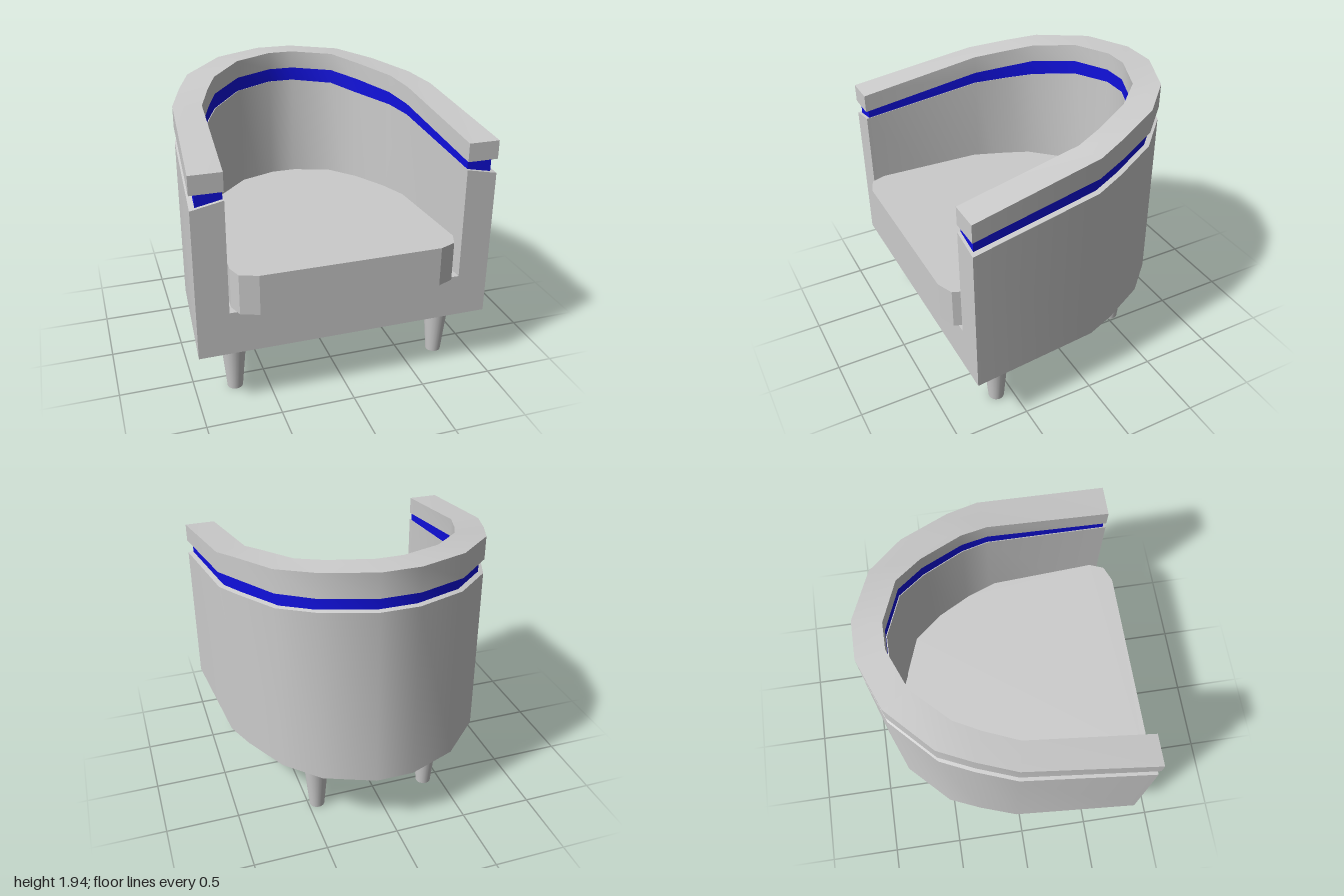
import * as THREE from 'three';
import { toCreasedNormals } from 'three/addons/utils/BufferGeometryUtils.js';

// Plan outlines [x, z], running from the right arm round the back to the left arm
const OUTER = [[-1, 0.85], [-0.935, -0.04], [-0.845, -0.3], [-0.75, -0.52], [-0.465, -0.8], [-0.13, -0.93],
  [0.13, -0.93], [0.465, -0.79], [0.68, -0.57], [0.845, -0.25], [0.925, -0.04], [1, 0.85]];
const INNER = [[-0.79, 0.85], [-0.745, 0], [-0.66, -0.23], [-0.58, -0.4], [-0.36, -0.63], [-0.09, -0.74],
  [0.09, -0.74], [0.37, -0.63], [0.52, -0.46], [0.67, -0.18], [0.73, 0], [0.79, 0.85]];
const CUSHION = [[-0.61, 0.925], [-0.73, 0.88], [-0.765, 0.78], [-0.73, 0.04], [-0.64, -0.2], [-0.57, -0.36],
  [-0.35, -0.59], [-0.09, -0.685], [0.09, -0.685], [0.35, -0.59], [0.51, -0.4], [0.64, -0.16],
  [0.715, 0.04], [0.76, 0.78], [0.72, 0.88], [0.61, 0.925]];

// Heights from arm end to back centre, mirrored over the other half
const mirrored = (h) => [...h, ...[...h].reverse()];
const RAIL_TOP = mirrored([1.67, 1.81, 1.85, 1.885, 1.925, 1.94]);
const RAIL_OUT = mirrored([1.545, 1.668, 1.70, 1.724, 1.757, 1.772]);
const RAIL_IN = mirrored([1.545, 1.685, 1.725, 1.762, 1.80, 1.815]);
const SHELL_OUT = mirrored([1.447, 1.56, 1.592, 1.624, 1.665, 1.68]);
const SHELL_IN = mirrored([1.49, 1.605, 1.632, 1.655, 1.70, 1.72]);

const lerp = (a, b, t) => a.map((v, i) => v + (b[i] - v) * t);

// Sweeps a four-cornered section round the horseshoe and caps both ends
function horseshoe(section) {
  const positions = [], index = [];
  OUTER.forEach((_, i) => section(i).forEach((p) => positions.push(...p)));
  const n = OUTER.length;
  for (let i = 0; i < n - 1; i++) {
    for (let k = 0; k < 4; k++) {
      const a = i * 4 + k, b = i * 4 + (k + 1) % 4;
      index.push(a, a + 4, b, b, a + 4, b + 4);
    }
  }
  const e = (n - 1) * 4;
  index.push(0, 1, 2, 0, 2, 3, e, e + 2, e + 1, e, e + 3, e + 2);
  const geometry = new THREE.BufferGeometry();
  geometry.setAttribute('position', new THREE.Float32BufferAttribute(positions, 3));
  geometry.setIndex(index);
  return toCreasedNormals(geometry, 0.6);
}

// Section corners: outer bottom, inner bottom, inner top, outer top
const corners = (o, n, ob, ib, it, ot) =>
  [[o[0], ob, o[1]], [n[0], ib, n[1]], [n[0], it, n[1]], [o[0], ot, o[1]]];

// Extrudes a plan outline upward between two heights
function slab(outline, bottom, top) {
  const shape = new THREE.Shape(outline.map(([x, z]) => new THREE.Vector2(x, -z)));
  const geometry = new THREE.ExtrudeGeometry(shape, { depth: top - bottom, bevelEnabled: false });
  geometry.rotateX(-Math.PI / 2).translate(0, bottom, 0);
  return toCreasedNormals(geometry, 0.35);
}

export function createModel() {
  const group = new THREE.Group();
  const grey = new THREE.MeshStandardMaterial({ color: 0xcccccc });
  const blue = new THREE.MeshStandardMaterial({ color: 0x1010dd });
  const add = (name, geometry, material = grey) => {
    const mesh = new THREE.Mesh(geometry, material);
    mesh.name = name;
    group.add(mesh);
    return mesh;
  };

  // Wrap-around arms and back
  add('shell', horseshoe((i) => corners(OUTER[i], INNER[i], 0.42, 0.42, SHELL_IN[i], SHELL_OUT[i])));

  // Recessed coloured band, sunk slightly into the shell and rail
  add('accentBand', horseshoe((i) => {
    const o = lerp(OUTER[i], INNER[i], 0.17), n = lerp(INNER[i], OUTER[i], 0.03);
    if (i === 0 || i === OUTER.length - 1) o[1] = n[1] = 0.83;
    return corners(o, n, SHELL_OUT[i] - 0.02, SHELL_IN[i] - 0.02, RAIL_IN[i] + 0.02, RAIL_OUT[i] + 0.02);
  }), blue);

  // Capping rail
  add('topRail', horseshoe((i) =>
    corners(OUTER[i], INNER[i], RAIL_OUT[i], RAIL_IN[i], RAIL_TOP[i], RAIL_TOP[i])));

  // Seat base and cushion
  add('seatBase', slab(INNER, 0.42, 0.72));
  add('seatCushion', slab(CUSHION, 0.72, 0.997));

  // Tapered legs, the back pair closer together
  const legGeometry = new THREE.CylinderGeometry(0.093, 0.053, 0.425, 20);
  for (const [name, x, z] of [['frontRightLeg', -0.727, 0.61], ['frontLeftLeg', 0.759, 0.61],
    ['backRightLeg', -0.385, -0.54], ['backLeftLeg', 0.437, -0.54]]) {
    add(name, legGeometry).position.set(x, 0.2125, z);
  }
  return group;
}
